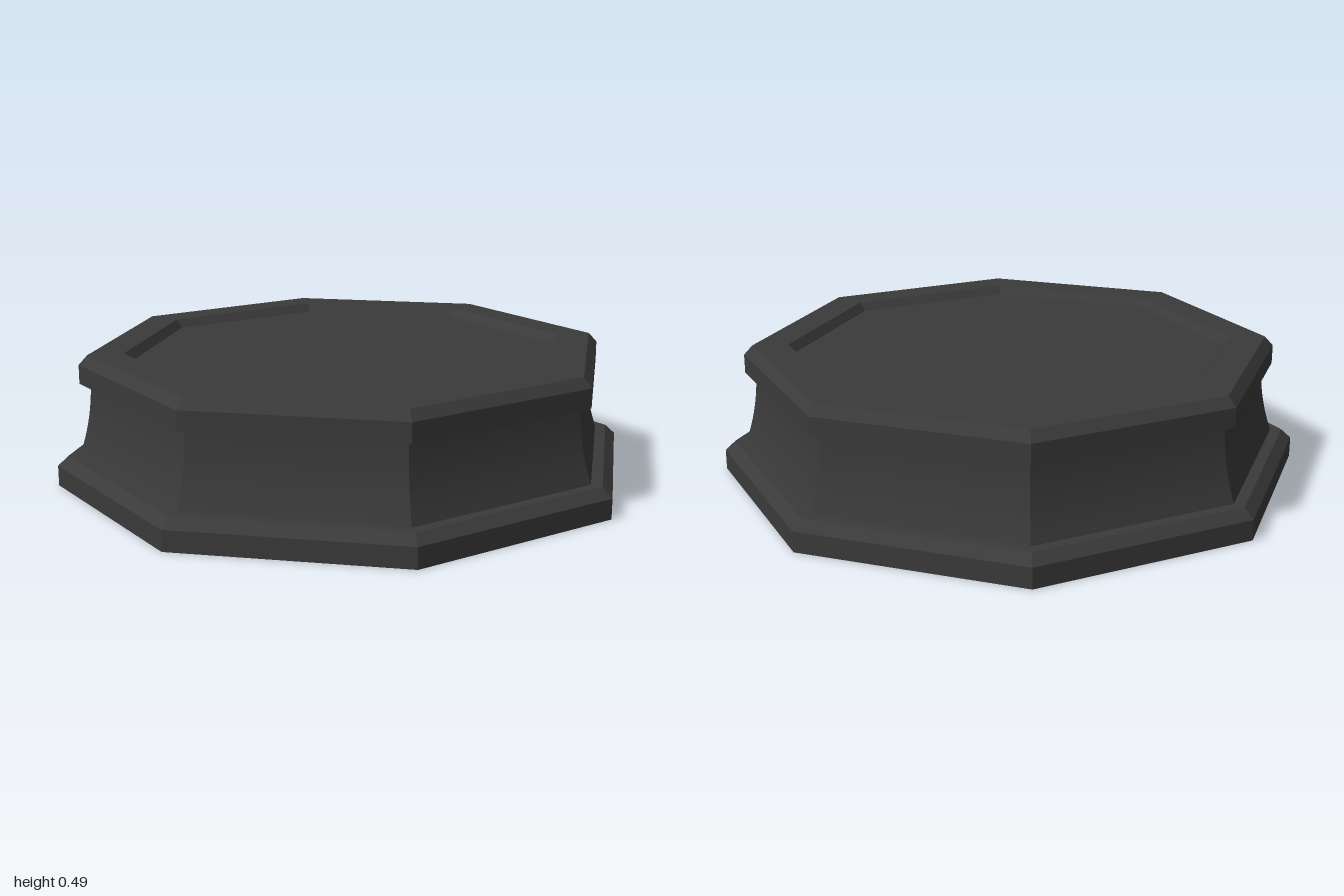
import * as THREE from 'three';

const SIDES = 8;
const HALF = Math.tan(Math.PI / SIDES); // half side length per unit of apothem

// Sweeps a profile of [apothem, y] around an octagon; corners stay sharp.
function octagonSweep(profile) {
  const positions = [], indices = [];
  for (let s = 0; s < SIDES; s++) {
    const angle = (s / SIDES) * Math.PI * 2;
    const c = Math.cos(angle), n = Math.sin(angle);
    const start = positions.length / 3;
    profile.forEach(([a, y], i) => {
      for (const x of [-HALF * a, HALF * a]) positions.push(x * c + a * n, y, a * c - x * n);
      if (i === 0) return;
      const q = start + (i - 1) * 2;
      if (profile[i - 1][0] > 0) indices.push(q, q + 1, q + 3);
      if (a > 0) indices.push(q, q + 3, q + 2);
    });
  }
  const geometry = new THREE.BufferGeometry();
  geometry.setAttribute('position', new THREE.Float32BufferAttribute(positions, 3));
  geometry.setIndex(indices);
  geometry.computeVertexNormals();
  return geometry;
}

export function createModel() {
  const group = new THREE.Group();
  group.name = 'octagonalPlinth';

  const add = (name, profile, flatShading) => {
    const material = new THREE.MeshStandardMaterial({ flatShading });
    material.color.set(0x3a3a3a);
    const mesh = new THREE.Mesh(octagonSweep(profile), material);
    mesh.name = name;
    group.add(mesh);
  };

  // Foot slab: recessed underside, upright edge, chamfered shoulder
  add('foot', [
    [0, 0.03], [0.81, 0.03], [0.835, 0], [1, 0],
    [1, 0.075], [0.965, 0.11], [0.92, 0.11],
  ], true);

  // Concave neck, smooth up its height
  const curve = new THREE.QuadraticBezierCurve(
    new THREE.Vector2(0.925, 0.11), new THREE.Vector2(0.88, 0.24), new THREE.Vector2(0.878, 0.38));
  add('neck', curve.getPoints(12).map((p) => [p.x, p.y]), false);

  // Cap slab: overhang, chamfered rim, recessed top panel
  add('cap', [
    [0.87, 0.38], [0.915, 0.38], [0.915, 0.45], [0.885, 0.485],
    [0.765, 0.485], [0.74, 0.455], [0, 0.455],
  ], true);

  return group;
}
